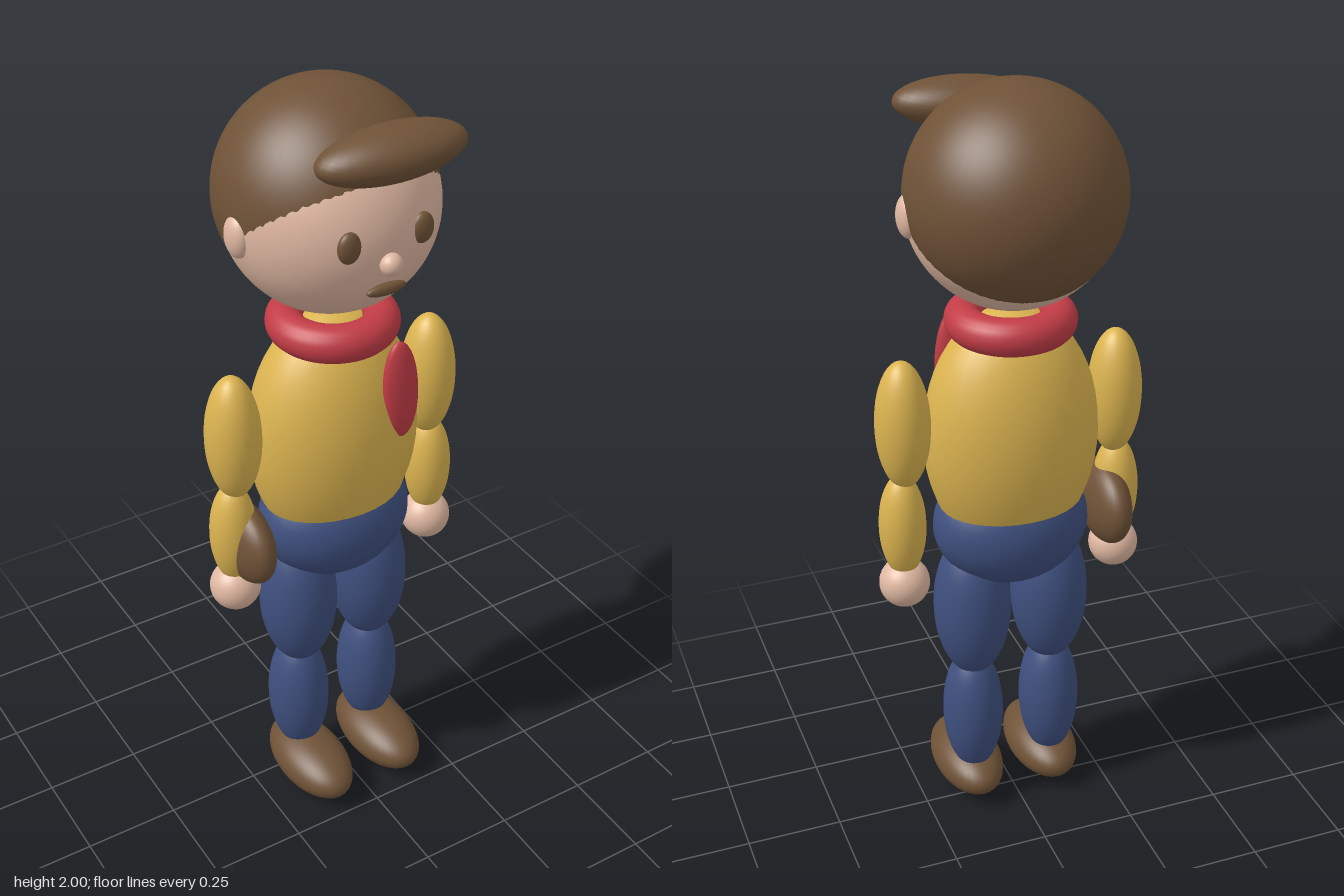
import * as THREE from 'three';

function mat(name, color) {
  const m = new THREE.MeshStandardMaterial({ color });
  m.name = name;
  return m;
}

export function createModel() {
  const skin = mat('skin', 0xe0b8a2);
  const brown = mat('brown', 0x6f5237);
  const yellow = mat('yellow', 0xdcb450);
  const blue = mat('blue', 0x3f507f);
  const red = mat('red', 0xc23c46);

  const figure = new THREE.Group();
  figure.name = 'figure';
  const ball = new THREE.SphereGeometry(1, 32, 24);
  const fineBall = new THREE.SphereGeometry(1, 64, 48);

  // Every body part is an ellipsoid: centre, radii, optional rotation
  function blob(name, material, centre, radii, rotation = [0, 0, 0], geometry = ball) {
    const mesh = new THREE.Mesh(geometry, material);
    mesh.name = name;
    mesh.position.set(...centre);
    mesh.scale.set(...radii);
    mesh.rotation.set(...rotation);
    figure.add(mesh);
    return mesh;
  }

  // Head: the hair is a shell set slightly up and back from the face
  blob('face', skin, [0, 1.713, -0.002], [0.2585, 0.2585, 0.2565], [0, 0, 0], fineBall);
  blob('hair', brown, [0, 1.737, -0.022], [0.264, 0.263, 0.263], [0, 0, 0], fineBall);
  blob('fringe', brown, [0.043, 1.897, 0.185], [0.182, 0.062, 0.083], [0, -0.12, 0.06]);
  blob('nose', skin, [0, 1.67, 0.259], [0.027, 0.027, 0.026]);
  blob('mouth', brown, [0, 1.6, 0.241], [0.052, 0.015, 0.013]);

  // Torso and hips
  blob('torso', yellow, [0, 1.1, 0.012], [0.225, 0.34, 0.173]);
  blob('hips', blue, [0, 0.845, 0.015], [0.204, 0.165, 0.16]);

  // Neckerchief
  const scarf = new THREE.Mesh(new THREE.TorusGeometry(0.116, 0.047, 20, 48), red);
  scarf.name = 'scarf';
  scarf.rotation.x = Math.PI / 2;
  scarf.position.set(0, 1.408, 0.012);
  figure.add(scarf);
  blob('scarfTail', red, [0.099, 1.256, 0.162], [0.048, 0.136, 0.025], [0, 0, 0.06]);

  // Mirrored parts
  for (const [side, s] of [['left', 1], ['right', -1]]) {
    const pair = (part, material, [x, y, z], radii) =>
      blob(side + part, material, [s * x, y, z], radii);
    pair('Eye', brown, [0.095, 1.725, 0.236], [0.029, 0.038, 0.018]);
    pair('Ear', skin, [0.25, 1.698, 0.015], [0.028, 0.053, 0.04]);
    pair('UpperArm', yellow, [0.28, 1.165, 0.014], [0.069, 0.171, 0.074]);
    pair('Forearm', yellow, [0.289, 0.885, 0.014], [0.06, 0.145, 0.061]);
    pair('Hand', skin, [0.289, 0.718, 0.014], [0.065, 0.065, 0.065]);
    pair('Thigh', blue, [0.107, 0.61, 0.015], [0.101, 0.21, 0.107]);
    pair('Shin', blue, [0.109, 0.275, 0.014], [0.08, 0.19, 0.088]);
    pair('Shoe', brown, [0.109, 0.071, 0.076], [0.091, 0.071, 0.165]);
  }

  // Pouch at the right hip
  blob('pouch', brown, [-0.259, 0.85, 0.012], [0.058, 0.11, 0.132]);

  return figure;
}
